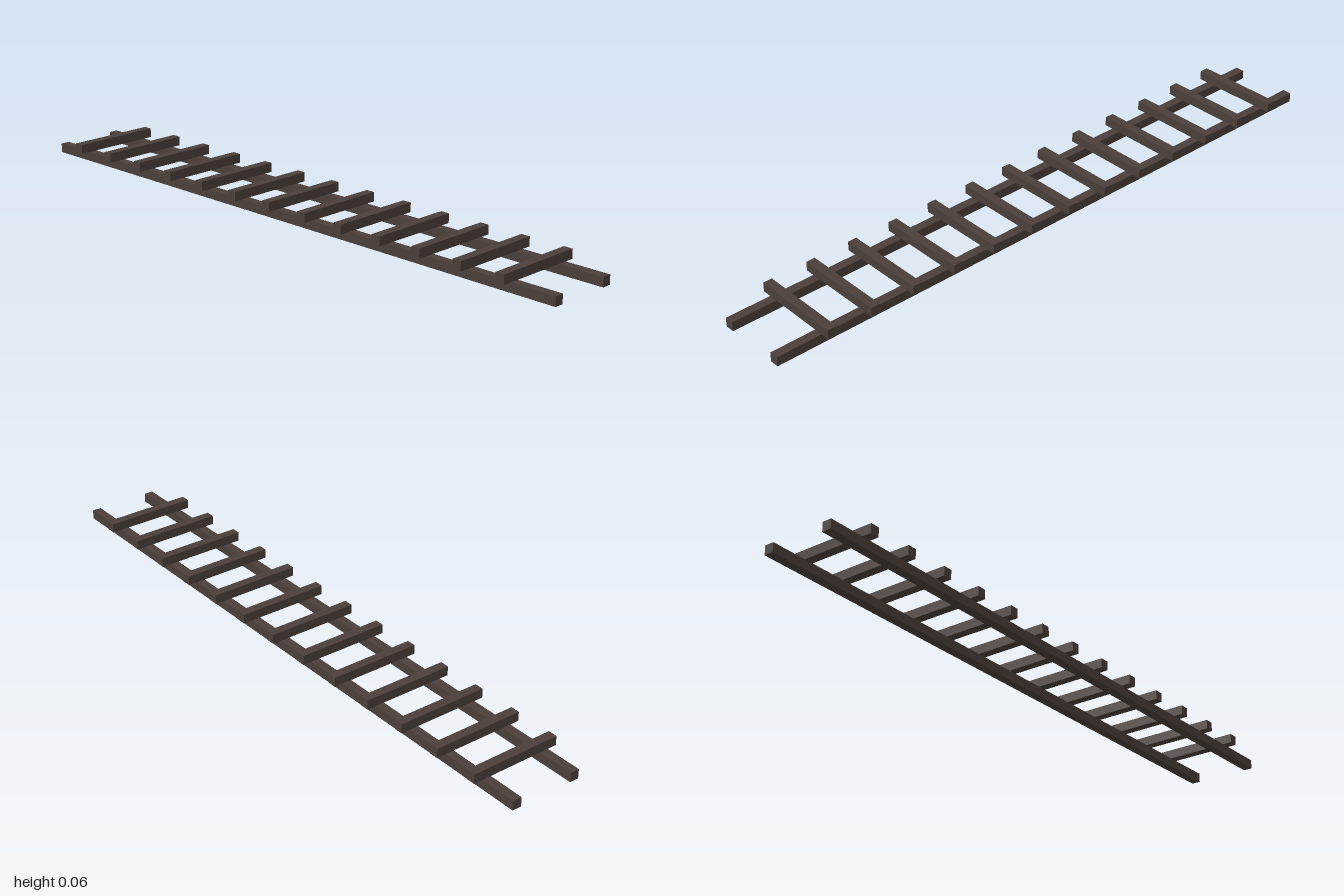
import * as THREE from 'three';

export function createModel() {
  const model = new THREE.Group();
  model.name = 'ladder';

  const wood = new THREE.MeshStandardMaterial({ color: 0x4a3e39 });
  wood.name = 'dark wood';

  const beam = 0.0286; // square section shared by rails and rungs

  // Two long side rails
  const railGeometry = new THREE.BoxGeometry(beam, beam, 2);
  for (const [name, side] of [['leftRail', 1], ['rightRail', -1]]) {
    const rail = new THREE.Mesh(railGeometry, wood);
    rail.name = name;
    rail.position.set(side * 0.1, beam / 2, 0);
    model.add(rail);
  }

  // Evenly spaced rungs resting on the rails, set slightly to the back
  const rungCount = 13;
  const spacing = 1 / 7;
  const rungGeometry = new THREE.BoxGeometry(0.286, beam, beam);
  for (let i = 0; i < rungCount; i++) {
    const rung = new THREE.Mesh(rungGeometry, wood);
    rung.name = `rung${i + 1}`;
    rung.position.set(0, beam * 1.5, (i - (rungCount - 1) / 2) * spacing - beam / 2);
    model.add(rung);
  }

  return model;
}
